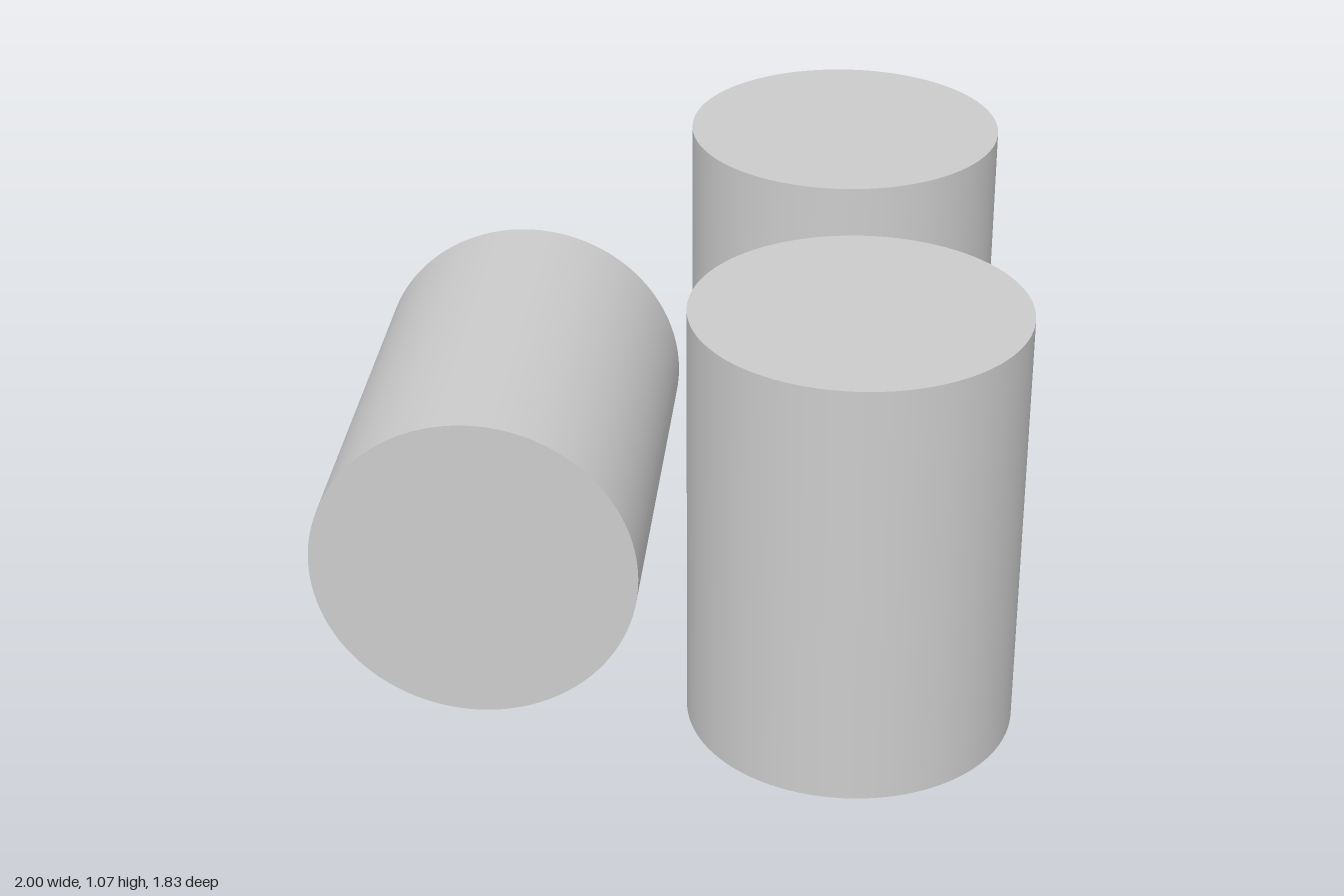
import * as THREE from 'three';

const RADIUS = 0.394;
const HEIGHT = 1.07;

export function createModel() {
  const model = new THREE.Group();
  const material = new THREE.MeshStandardMaterial({ color: 0xcccccc });
  const geometry = new THREE.CylinderGeometry(RADIUS, RADIUS, HEIGHT, 96);

  const addCylinder = (name, x, y, z) => {
    const mesh = new THREE.Mesh(geometry, material);
    mesh.name = name;
    mesh.position.set(x, y, z);
    model.add(mesh);
    return mesh;
  };

  // Two upright cylinders
  addCylinder('frontUprightCylinder', 0.2, HEIGHT / 2, 0.518);
  addCylinder('backUprightCylinder', 0.603, HEIGHT / 2, -0.459);

  // Cylinder lying on its side, turned about the vertical
  const lying = addCylinder('lyingCylinder', -0.409, RADIUS, -0.264);
  lying.rotation.set(Math.PI / 2, -0.464, 0, 'YXZ');

  return model;
}
